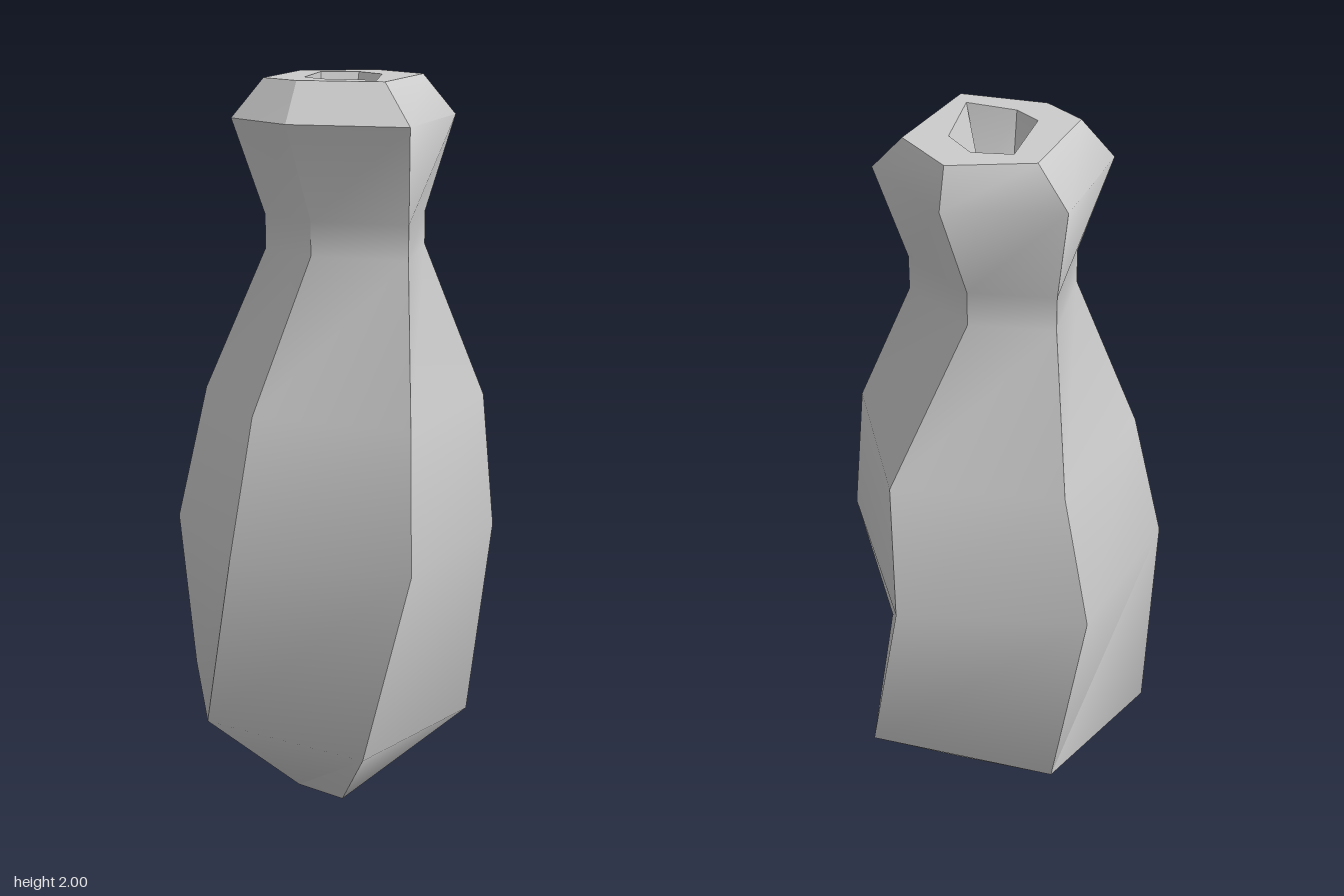
import * as THREE from 'three';
import { toCreasedNormals } from 'three/addons/utils/BufferGeometryUtils.js';

// Each ring: height, then six [x, z] corners, from the front corner round by +x.
const OUTER = [
  [0, [[0, 0.17], [0.105, 0.04], [0.17, -0.11], [-0.02, -0.14], [-0.11, -0.07], [-0.11, 0.07]]],
  [0.29, [[0, 0.485], [0.34, 0.23], [0.405, -0.31], [-0.08, -0.495], [-0.38, -0.19], [-0.38, 0.195]]],
  [0.8, [[0.12, 0.495], [0.425, 0.14], [0.325, -0.385], [-0.17, -0.465], [-0.425, -0.07], [-0.32, 0.3]]],
  [1.17, [[0.125, 0.44], [0.39, 0.13], [0.325, -0.335], [-0.11, -0.415], [-0.34, -0.065], [-0.25, 0.25]]],
  [1.56, [[0.155, 0.24], [0.25, 0], [0.115, -0.205], [-0.1, -0.25], [-0.18, 0], [-0.08, 0.14]]],
  [1.65, [[0.155, 0.24], [0.25, 0], [0.115, -0.205], [-0.1, -0.25], [-0.18, 0], [-0.08, 0.14]]],
  [1.9, [[0.14, 0.31], [0.33, -0.01], [0.18, -0.28], [-0.115, -0.31], [-0.265, 0], [-0.15, 0.19]]],
  [2, [[0.1, 0.19], [0.255, -0.075], [0.165, -0.245], [-0.05, -0.25], [-0.18, 0], [-0.11, 0.11]]],
];
const MOUTH = [2, [[0.09, 0.13], [0.145, -0.075], [0.1, -0.175], [0, -0.195], [-0.075, 0], [-0.03, 0.07]]];
const THROAT = [1.8, [[0.07, 0.05], [0.055, -0.03], [0.06, -0.07], [-0.015, -0.105], [-0.05, -0.01], [-0.015, 0.035]]];

// A ring collapsed to a single point, used to close an end
const point = (y, x, z) => [y, Array.from({ length: 6 }, () => [x, z])];

// Skin the rings one side at a time, so the long edges between sides stay sharp
function loft(rings, crease) {
  const group = new THREE.Group();
  const material = new THREE.MeshStandardMaterial({ color: 0xcccccc, side: THREE.DoubleSide });
  const at = ([y, pts], i) => new THREE.Vector3(pts[i % 6][0], y, pts[i % 6][1]);
  for (let side = 0; side < 6; side++) {
    const pos = [];
    const tri = (a, b, c) => {
      if (a.equals(b) || b.equals(c) || c.equals(a)) return;
      for (const p of [a, b, c]) pos.push(p.x, p.y, p.z);
    };
    for (let r = 0; r < rings.length - 1; r++) {
      const a = at(rings[r], side), b = at(rings[r], side + 1);
      const c = at(rings[r + 1], side + 1), d = at(rings[r + 1], side);
      tri(a, b, c);
      tri(a, c, d);
    }
    const geometry = new THREE.BufferGeometry();
    geometry.setAttribute('position', new THREE.Float32BufferAttribute(pos, 3));
    const mesh = new THREE.Mesh(toCreasedNormals(geometry, crease), material);
    mesh.name = `${'side'}${side + 1}`;
    group.add(mesh);
  }
  return group;
}

export function createModel() {
  const model = new THREE.Group();
  model.name = 'twistedVase';

  // Base, twisted six-sided body, neck and flared lip
  const body = loft([point(0, 0.01, 0), ...OUTER], 0.87);
  body.name = 'body';

  // Flat rim and the narrowing mouth inside it
  const rim = loft([OUTER[OUTER.length - 1], MOUTH], 0.5);
  rim.name = 'rim';
  const mouth = loft([MOUTH, THROAT, point(1.72, 0.015, -0.02)], 0.5);
  mouth.name = 'mouth';

  model.add(body, rim, mouth);
  return model;
}
